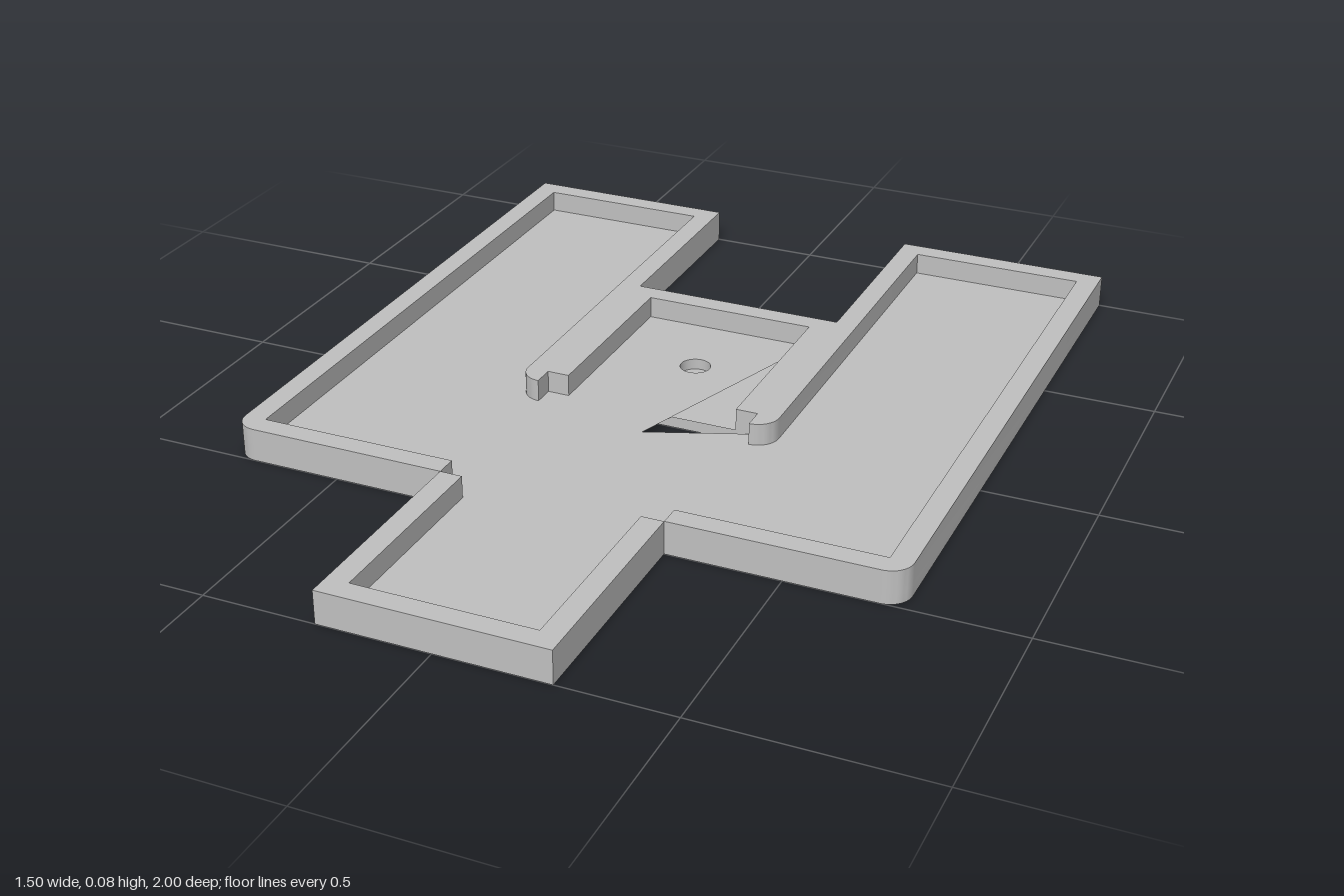
import * as THREE from 'three';
import { toCreasedNormals } from 'three/addons/utils/BufferGeometryUtils.js';

const FLOOR = 0.025, TOP = 0.075;

// Shape from plan points [x, z]
const planShape = (pts) => new THREE.Shape(pts.map(([x, z]) => new THREE.Vector2(x, -z)));
const mirrored = (pts) => pts.map(([x, z]) => [-x, z]).reverse();
// Quarter-circle points in plan, from angle a to angle b
const arc = (cx, cz, r, a, b, n = 10) => Array.from({ length: n + 1 }, (_, i) => {
  const t = a + (b - a) * i / n;
  return [cx + r * Math.cos(t), cz + r * Math.sin(t)];
});

export function createModel() {
  const group = new THREE.Group();
  const grey = new THREE.MeshStandardMaterial({ color: 0xc0c0c0, side: THREE.DoubleSide });
  grey.name = 'plain grey';

  const add = (name, geo) => {
    const mesh = new THREE.Mesh(geo, grey);
    mesh.name = name;
    group.add(mesh);
  };
  const flat = (name, shape, y) =>
    add(name, new THREE.ShapeGeometry(shape, 24).rotateX(-Math.PI / 2).translate(0, y, 0));
  // Raised solid border standing on the floor
  const rim = (name, pts) => {
    const geo = new THREE.ExtrudeGeometry(planShape(pts), { depth: TOP - FLOOR, bevelEnabled: false });
    add(name, toCreasedNormals(geo.rotateX(-Math.PI / 2).translate(0, FLOOR, 0), 0.5));
  };
  // Vertical band around a closed outline, for the thickness of the floor
  const band = (name, pts) => {
    const pos = [];
    pts.forEach(([x, z], i) => {
      const [u, w] = pts[(i + 1) % pts.length];
      pos.push(x, 0, z, x, FLOOR, z, u, FLOOR, w, x, 0, z, u, FLOOR, w, u, 0, w);
    });
    const geo = new THREE.BufferGeometry();
    geo.setAttribute('position', new THREE.Float32BufferAttribute(pos, 3));
    add(name, toCreasedNormals(geo, 0.5));
  };

  // Outer edge of the body on the +x side, front to back, with a rounded front corner
  const outer = [[0.25, 0.5], ...arc(0.7, 0.45, 0.05, Math.PI / 2, 0),
    [0.75, -1], [0.25, -1], [0.25, -0.5]];
  // Inner edge of the border on the +x side, back to front
  const inner = [[0.2, -0.45], [0.2, 0], [0.25, 0], ...arc(0.25, 0, 0.05, Math.PI / 2, 0),
    [0.3, -0.95], [0.7, -0.95], [0.7, 0.45], [0.25, 0.45]];

  // Borders
  rim('bodyRim', [...outer, ...mirrored(outer), ...mirrored(inner), ...inner]);
  rim('tabRim', [[0.25, 0.5], [0.25, 1], [-0.25, 1], [-0.25, 0.5],
    [-0.2, 0.5], [-0.2, 0.95], [0.2, 0.95], [0.2, 0.5]]);

  // Undersides, leaving a square recess below the middle
  const bodyBase = [...outer, ...mirrored(outer), [-0.25, 0], [0.25, 0]];
  const tabBase = [[0.25, 0.5], [0.25, 1], [-0.25, 1], [-0.25, 0.5]];
  flat('bodyUnderside', planShape(bodyBase), 0);
  flat('tabUnderside', planShape(tabBase), 0);
  band('bodyFloorEdge', bodyBase);
  band('tabFloorEdge', tabBase);

  // Upper floor with a triangular cut beside the pocket and a round hole
  const tabInner = [[0.25, 0.5], [0.2, 0.5], [0.2, 0.95]];
  const floor = planShape([[0.2, -0.45], [0.02, 0.09], ...inner.slice(2),
    ...tabInner, ...mirrored(tabInner), ...mirrored(inner)]);
  const hole = new THREE.Path();
  hole.absarc(0, 0.25, 0.035, 0, Math.PI * 2, true);
  floor.holes.push(hole);
  flat('trayFloor', floor, FLOOR);
  add('pinHole', new THREE.CylinderGeometry(0.035, 0.035, FLOOR, 48, 1, true)
    .translate(0, FLOOR / 2, -0.25));

  return group;
}
